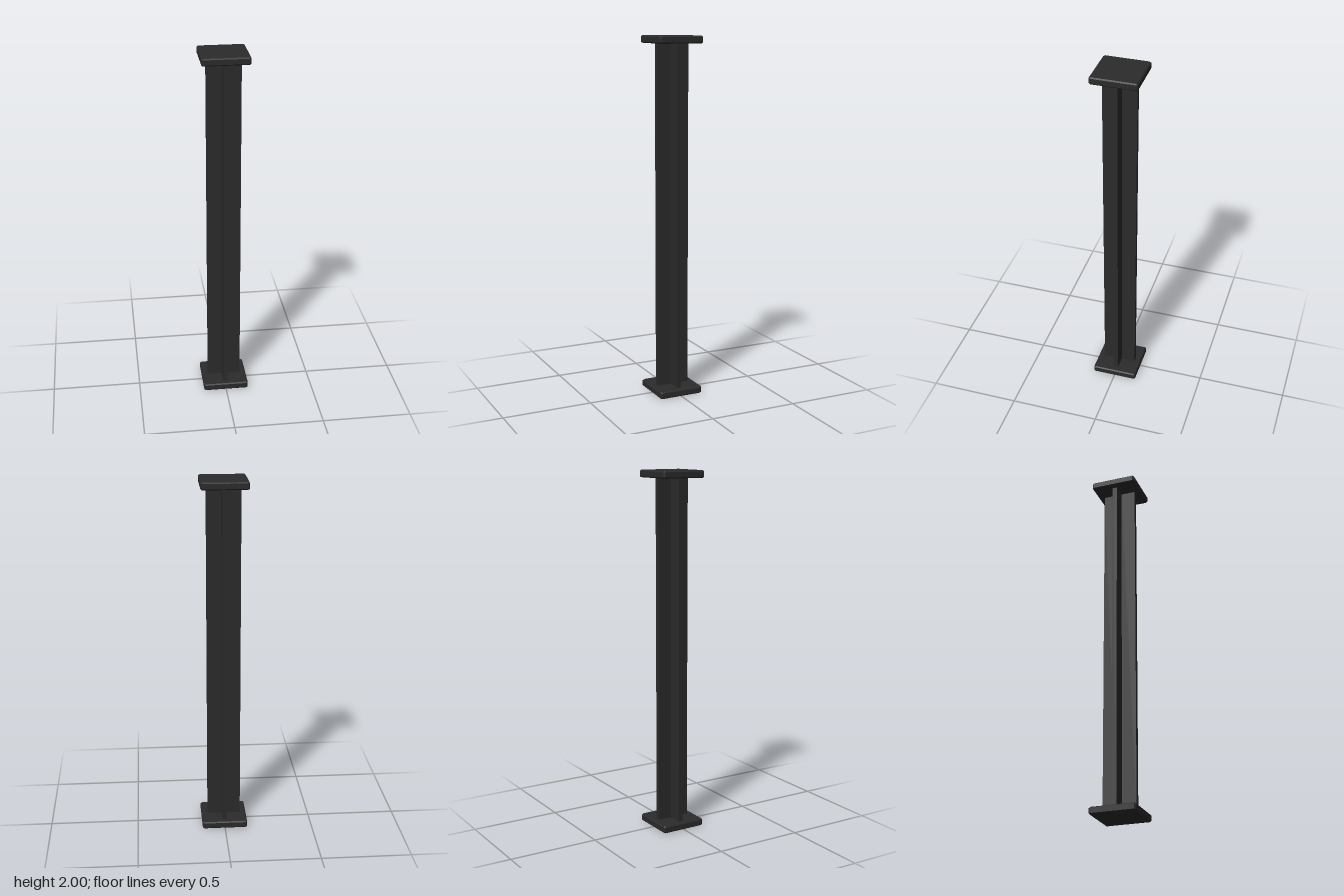
import * as THREE from 'three';

const HEIGHT = 2;
const PLATE_HALF = 0.128, PLATE_THICK = 0.04, BEVEL = 0.006;
const ARM_HALF = 0.094, WEB_HALF = 0.013;

// Closed shape from a list of [x, y] points repeated around four quarter turns
function fourFold(points) {
  const outline = [];
  for (let q = 0; q < 4; q++) {
    for (const [x, y] of points) {
      outline.push(new THREE.Vector2(x, y).rotateAround(new THREE.Vector2(), q * Math.PI / 2));
    }
  }
  return new THREE.Shape(outline);
}

// Extrude a plan outline upwards
function extrudeUp(shape, options) {
  return new THREE.ExtrudeGeometry(shape, options).rotateX(-Math.PI / 2);
}

export function createModel() {
  const group = new THREE.Group();
  group.name = 'cruciformColumn';
  const darkSteel = new THREE.MeshStandardMaterial({ color: 0x2b2b2b });
  darkSteel.name = 'darkSteel';

  const add = (name, geometry, y) => {
    const mesh = new THREE.Mesh(geometry, darkSteel);
    mesh.name = name;
    mesh.position.y = y;
    group.add(mesh);
  };

  // Cross-shaped shaft between the plates
  const cross = fourFold([[ARM_HALF, -WEB_HALF], [ARM_HALF, WEB_HALF], [WEB_HALF, WEB_HALF]]);
  add('shaft', extrudeUp(cross, { depth: HEIGHT - 2 * PLATE_THICK, bevelEnabled: false }), PLATE_THICK);

  // Square end plates with chamfered edges and clipped corners
  const h = PLATE_HALF - BEVEL, c = 0.004;
  const plate = extrudeUp(fourFold([[h, -h + c], [h, h - c]]), {
    depth: PLATE_THICK - 2 * BEVEL, bevelEnabled: true,
    bevelThickness: BEVEL, bevelSize: BEVEL, bevelSegments: 1,
  });
  add('basePlate', plate, BEVEL);
  add('topPlate', plate, HEIGHT - PLATE_THICK + BEVEL);

  return group;
}
